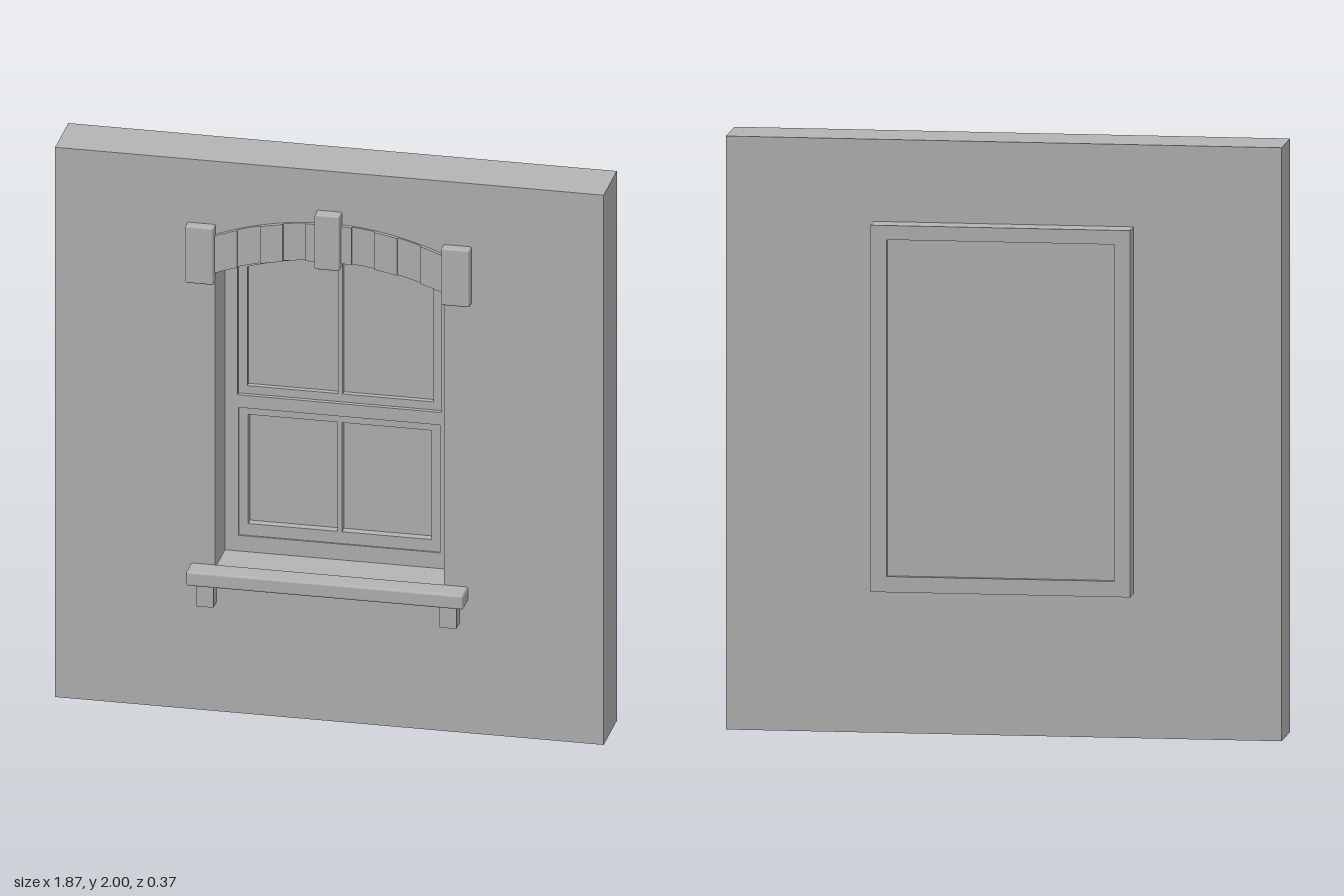
import * as THREE from 'three';
import { RoundedBoxGeometry } from 'three/addons/geometries/RoundedBoxGeometry.js';

export function createModel() {
  const model = new THREE.Group();
  const stone = new THREE.MeshStandardMaterial({ color: 0xb4b4b4 });
  stone.name = 'grey stone';

  const add = (name, geometry) => {
    const mesh = new THREE.Mesh(geometry, stone);
    mesh.name = name;
    model.add(mesh);
    return mesh;
  };

  // Closed outline with a straight base and a top arch of the given apex and curvature
  const outline = (x0, x1, y0, apex, curve = 0, Type = THREE.Shape) => {
    const points = [new THREE.Vector2(x0, y0), new THREE.Vector2(x1, y0)];
    const steps = curve ? 20 : 1;
    for (let i = 0; i <= steps; i++) {
      const x = x1 + (x0 - x1) * i / steps;
      points.push(new THREE.Vector2(x, apex - curve * x * x));
    }
    return new Type(points);
  };
  const hole = (...args) => outline(...args, THREE.Path);

  // Flat plate between two depths, with openings
  const plate = (name, shape, holes, z0, z1) => {
    shape.holes.push(...holes);
    const geometry = new THREE.ExtrudeGeometry(shape, { depth: z1 - z0, bevelEnabled: false });
    geometry.translate(0, 0, z0);
    return add(name, geometry);
  };

  const block = (name, x0, x1, y0, y1, z0, z1, radius = 0) => {
    const size = [x1 - x0, y1 - y0, z1 - z0];
    const geometry = radius
      ? new RoundedBoxGeometry(...size, 2, radius)
      : new THREE.BoxGeometry(...size);
    geometry.translate((x0 + x1) / 2, (y0 + y1) / 2, (z0 + z1) / 2);
    return add(name, geometry);
  };

  // Wall with arched opening
  plate('wall', outline(-0.935, 0.935, 0, 2),
    [hole(-0.39, 0.39, 0.52, 1.675, 0.5)], -0.1, 0.105);

  // Window frame set back in the opening
  plate('windowFrame', outline(-0.39, 0.39, 0.52, 1.675, 0.5), [
    hole(-0.348, 0.348, 1.088, 1.63, 0.45),
    hole(-0.343, 0.343, 0.577, 1.042, 0),
  ], -0.1, -0.05);

  // Sashes, each with two panes either side of a slim bar
  plate('upperSash', outline(-0.348, 0.348, 1.088, 1.63, 0.45), [
    hole(-0.317, -0.008, 1.117, 1.6, 0.5),
    hole(0.008, 0.317, 1.117, 1.6, 0.5),
  ], -0.1, -0.066);
  plate('lowerSash', outline(-0.343, 0.343, 0.577, 1.042), [
    hole(-0.312, -0.008, 0.62, 1.017, 0),
    hole(0.008, 0.312, 0.62, 1.017, 0),
  ], -0.1, -0.056);

  // Casing behind the wall and the panel that closes it
  plate('rearCasing', outline(-0.437, 0.437, 0.487, 1.723),
    [hole(-0.382, 0.382, 0.54, 1.675, 0)], -0.185, -0.1);
  block('windowPane', -0.382, 0.382, 0.54, 1.59, -0.168, -0.086);
  block('rearPanel', -0.382, 0.382, 0.54, 1.675, -0.168, -0.1);

  // Arch stones, alternating in depth and mirrored about the keystone
  for (const side of [-1, 1]) {
    for (let i = 0; i < 5; i++) {
      const a = side * i * 0.078, b = side * (i + 1) * 0.078;
      const x0 = Math.min(a, b), x1 = Math.max(a, b);
      const shape = new THREE.Shape();
      const steps = 4;
      for (let k = 0; k <= steps; k++) {
        const x = x0 + (x1 - x0) * k / steps;
        if (k) shape.lineTo(x, 1.675 - 0.5 * x * x);
        else shape.moveTo(x, 1.675 - 0.5 * x * x);
      }
      for (let k = steps; k >= 0; k--) {
        const x = x0 + (x1 - x0) * k / steps;
        shape.lineTo(x, 1.81 - 0.5 * x * x);
      }
      plate('archStone', shape, [], 0.09, i % 2 ? 0.112 : 0.12);
    }

    // End block and sill bracket
    const span = (a, b) => side > 0 ? [a, b] : [-b, -a];
    block('archEndBlock', ...span(0.388, 0.485), 1.563, 1.77, 0.09, 0.14, 0.006);
    block('sillBracket', ...span(0.385, 0.443), 0.397, 0.49, 0.1, 0.154);
  }
  block('keystone', -0.043, 0.043, 1.656, 1.855, 0.09, 0.146, 0.006);

  // Projecting sill
  block('sill', -0.473, 0.473, 0.48, 0.532, 0.1, 0.183, 0.008);

  return model;
}
